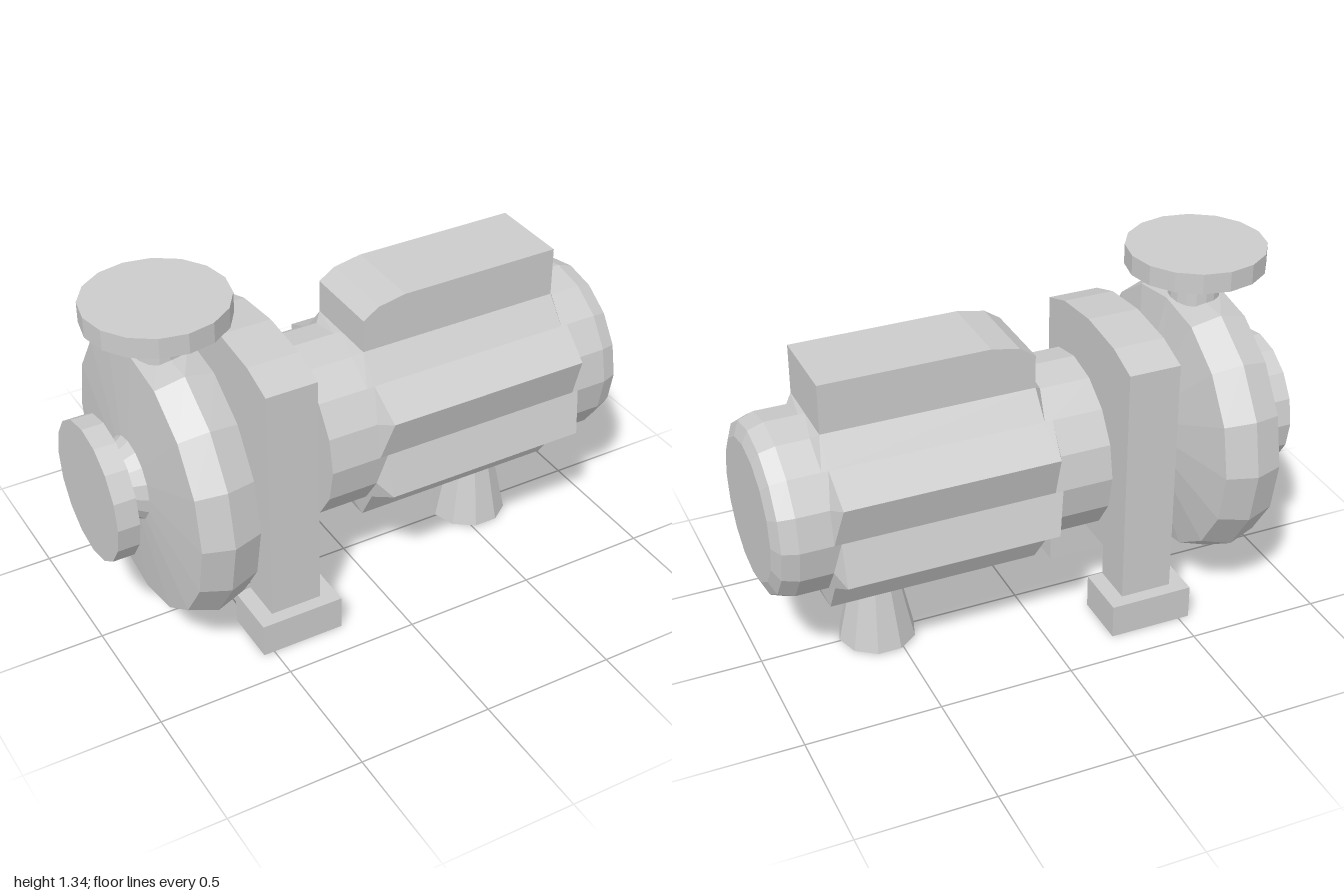
import * as THREE from 'three';

const AXIS = 0.655; // height of the shaft line
const SIDES = 16;

export function createModel() {
  const model = new THREE.Group();
  const grey = new THREE.MeshStandardMaterial({ color: 0xcccccc, flatShading: true });

  function add(name, geometry, x = 0, y = 0, z = 0) {
    const mesh = new THREE.Mesh(geometry, grey);
    mesh.name = name;
    mesh.position.set(x, y, z);
    model.add(mesh);
    return mesh;
  }

  // Turned solid about the shaft line; profile is [x, radius] from left to right
  function turned(profile) {
    const points = profile.map(([x, r]) => new THREE.Vector2(r, x));
    return new THREE.LatheGeometry(points, SIDES).rotateZ(-Math.PI / 2);
  }

  function extruded(points, depth) {
    const shape = new THREE.Shape(points.map(([x, y]) => new THREE.Vector2(x, y)));
    return new THREE.ExtrudeGeometry(shape, { depth, bevelEnabled: false }).translate(0, 0, -depth / 2);
  }

  // Inlet flange and flared neck
  add('inletFlange', turned([[-1, 0], [-1, 0.255], [-0.92, 0.255], [-0.92, 0]]), 0, AXIS);
  add('inletNeck', turned([[-0.93, 0.09], [-0.92, 0.1], [-0.835, 0.155]]), 0, AXIS);

  // Pump casing, flattened on top below the outlet
  const casing = turned([
    [-0.84, 0], [-0.84, 0.15], [-0.81, 0.495], [-0.705, 0.53],
    [-0.595, 0.495], [-0.538, 0.23], [-0.538, 0],
  ]);
  const cp = casing.attributes.position;
  for (let i = 0; i < cp.count; i++) cp.setY(i, Math.min(cp.getY(i), 0.487));
  casing.computeVertexNormals();
  add('pumpCasing', casing, 0, AXIS);

  // Outlet neck and flange
  add('outletNeck', new THREE.CylinderGeometry(0.09, 0.095, 0.17, SIDES), -0.705, 1.18);
  add('outletFlange', new THREE.CylinderGeometry(0.255, 0.255, 0.075, SIDES), -0.705, 1.2975);

  // Shaft housing between pump and motor
  add('shaftHousing', turned([[-0.56, 0.125], [-0.2, 0.125]]), 0, AXIS);

  // Arched bracket standing on two feet
  const bracket = extruded([
    [0.165, 0.13], [0.33, 0.13], [0.33, 1.055], [0.2, 1.1], [0, 1.12],
    [-0.2, 1.1], [-0.33, 1.055], [-0.33, 0.13], [-0.165, 0.13],
    [-0.165, 0.255], [0.165, 0.255],
  ], 0.195).rotateY(Math.PI / 2);
  add('bracket', bracket, -0.383);
  for (const side of [-1, 1]) {
    add('bracketFoot', new THREE.BoxGeometry(0.315, 0.13, 0.215), -0.383, 0.065, side * 0.2725);
  }

  // Motor collar and rounded end cover
  add('motorCollar', turned([[-0.23, 0], [-0.23, 0.33], [-0.04, 0.33]]), 0, AXIS);
  add('motorEndCover', turned([[0.8, 0.33], [0.92, 0.33], [0.978, 0.31], [1, 0.26], [1, 0]]), 0, AXIS);

  // Ridged motor body: every second corner drops to the collar radius
  const body = turned([[-0.04, 0.33], [-0.01, 0.405], [0.775, 0.405], [0.8, 0.33]]);
  const bp = body.attributes.position;
  for (let i = 0; i < bp.count; i++) {
    const y = bp.getY(i), z = bp.getZ(i);
    const corner = Math.round(Math.atan2(y, z) / (Math.PI * 2 / SIDES));
    const scale = Math.hypot(y, z) > 0.4 && corner % 2 === 0 ? 0.33 / 0.405 : 1;
    bp.setY(i, Math.min(y * scale, 0.33));
    bp.setZ(i, z * scale);
  }
  body.computeVertexNormals();
  add('motorBody', body, 0, AXIS);

  // Terminal box with a sloped front end
  add('terminalBox', extruded([
    [-0.01, 0.975], [0.775, 0.975], [0.775, 1.17], [0.155, 1.17], [0.05, 1.15], [-0.01, 1.11],
  ], 0.31));

  // Tapered motor foot
  const foot = new THREE.CylinderGeometry(0.068, 0.145, 0.36, 10).rotateY(Math.PI / 2);
  add('motorFoot', foot, 0.557, 0.185);

  return model;
}
